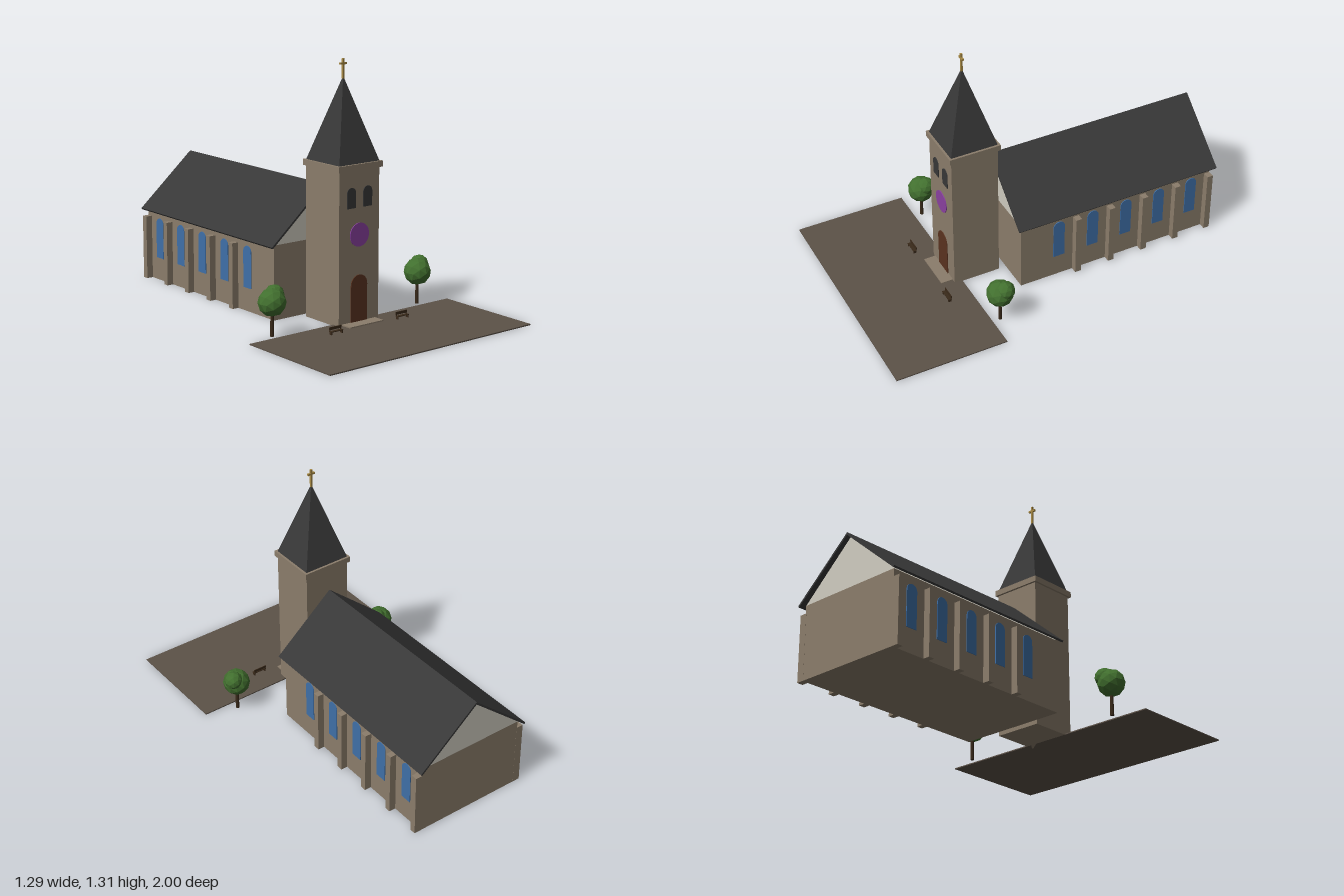
import * as THREE from 'three';

const mat = (name, color, flatShading = false) => {
  const m = new THREE.MeshStandardMaterial({ color, flatShading });
  m.name = name;
  return m;
};

export function createModel() {
  const stone = mat('stone', 0x8b7d6b), slate = mat('slate', 0x383838);
  const plaster = mat('plaster', 0xd0ccc0), paving = mat('paving', 0x5c5248);
  const glass = mat('blue glass', 0x3f70a8), rose = mat('purple glass', 0x8a41a0);
  const doorWood = mat('door wood', 0x5a3320), darkWood = mat('dark wood', 0x3a2a1a);
  const leaves = mat('leaves', 0x42702f, true), gold = mat('gold', 0xa88a45);

  const model = new THREE.Group();
  model.name = 'church';

  const add = (parent, name, geo, material, x = 0, y = 0, z = 0) => {
    const m = new THREE.Mesh(geo, material);
    m.name = name;
    m.position.set(x, y, z);
    parent.add(m);
    return m;
  };
  // box placed by the centre of its base
  const box = (parent, name, w, h, d, material, x, y, z) =>
    add(parent, name, new THREE.BoxGeometry(w, h, d), material, x, y + h / 2, z);
  const group = (name, x = 0, y = 0, z = 0) => {
    const g = new THREE.Group();
    g.name = name;
    g.position.set(x, y, z);
    model.add(g);
    return g;
  };
  const extrude = (shape, depth) =>
    new THREE.ExtrudeGeometry(shape, { depth, bevelEnabled: false, curveSegments: 12 });
  const polygon = pts => new THREE.Shape(pts.map(p => new THREE.Vector2(...p)));
  // thin round-headed plate standing on y = 0
  const arch = (w, h) => {
    const s = new THREE.Shape(), r = w / 2;
    s.moveTo(-r, 0);
    s.lineTo(r, 0);
    s.lineTo(r, h - r);
    s.absarc(0, h - r, r, 0, Math.PI, false);
    s.closePath();
    return extrude(s, 0.005);
  };

  // Forecourt and doorstep
  box(model, 'forecourt', 1.286, 0.006, 0.6, paving, 0, 0, 0.7);
  box(model, 'doorstep', 0.214, 0.012, 0.07, stone, 0, 0, 0.473);

  // Nave: walls, gables and two roof slopes
  const nave = group('nave');
  box(nave, 'walls', 0.6, 0.385, 1.12, stone, 0, 0, -0.414);
  add(nave, 'gables', extrude(polygon([[-0.3, 0.385], [0.3, 0.385], [0, 0.65]]), 1.12), plaster, 0, 0, -0.974);
  const slopes = {
    leftRoof: [[0, 0.65], [0.322, 0.374], [0.328, 0.382], [0, 0.664]],
    rightRoof: [[0, 0.65], [0, 0.664], [-0.328, 0.382], [-0.322, 0.374]],
  };
  for (const [name, pts] of Object.entries(slopes))
    add(nave, name, extrude(polygon(pts), 1.167), slate, 0, 0, -1);

  // Side windows and buttresses
  const windowGeo = arch(0.064, 0.22);
  for (const side of [-1, 1]) {
    for (let i = 0; i < 5; i++) {
      const z = -0.072 - i * 0.197;
      const w = add(nave, 'sideWindow', windowGeo, glass, side * 0.299, 0.123, z);
      w.rotation.y = side * Math.PI / 2;
      box(nave, 'buttress', 0.04, 0.345, 0.033, stone, side * 0.316, 0, z - 0.098);
    }
  }

  // Tower with cornice, spire and cross
  const tower = group('tower', 0, 0, 0.315);
  box(tower, 'shaft', 0.256, 0.78, 0.256, stone, 0, 0, 0);
  box(tower, 'cornice', 0.28, 0.03, 0.28, stone, 0, 0.778, 0);
  const spireGeo = new THREE.ConeGeometry(0.128 * Math.SQRT2, 0.417, 4).toNonIndexed();
  spireGeo.rotateY(Math.PI / 4);
  spireGeo.computeVertexNormals();
  add(tower, 'spire', spireGeo, slate, 0, 0.808 + 0.2085, 0);
  box(tower, 'crossPost', 0.01, 0.1, 0.01, gold, 0, 1.211, 0);
  box(tower, 'crossArm', 0.042, 0.01, 0.01, gold, 0, 1.281, 0);

  // Tower front: door, round window and belfry openings
  add(tower, 'door', arch(0.104, 0.24), doorWood, 0, 0.01, 0.127);
  const disc = new THREE.CylinderGeometry(0.06, 0.06, 0.006, 32);
  disc.rotateX(Math.PI / 2);
  add(tower, 'roundWindow', disc, rose, 0, 0.453, 0.13);
  for (const side of [-1, 1])
    add(tower, 'belfryOpening', arch(0.056, 0.103), slate, side * 0.052, 0.59, 0.127);

  for (const side of [-1, 1]) {
    // Bench
    const bench = group('bench', side * 0.215, 0.006, 0.528);
    box(bench, 'seat', 0.076, 0.004, 0.018, darkWood, 0, 0.013, 0);
    box(bench, 'backrest', 0.076, 0.014, 0.004, darkWood, 0, 0.022, -0.008);
    for (const x of [-0.033, 0.033]) {
      box(bench, 'leg', 0.004, 0.013, 0.016, darkWood, x, 0, 0);
      box(bench, 'backPost', 0.004, 0.012, 0.003, darkWood, x, 0.013, -0.008);
    }
    // Tree
    const tree = group('tree', side * 0.473, 0, 0.354);
    add(tree, 'trunk', new THREE.CylinderGeometry(0.008, 0.01, 0.14, 8), darkWood, 0, 0.07, 0);
    add(tree, 'crown', new THREE.IcosahedronGeometry(0.071, 1), leaves, 0, 0.171, 0);
    add(tree, 'upperCrown', new THREE.IcosahedronGeometry(0.049, 1), leaves, 0.028, 0.203, -0.018);
  }
  return model;
}
